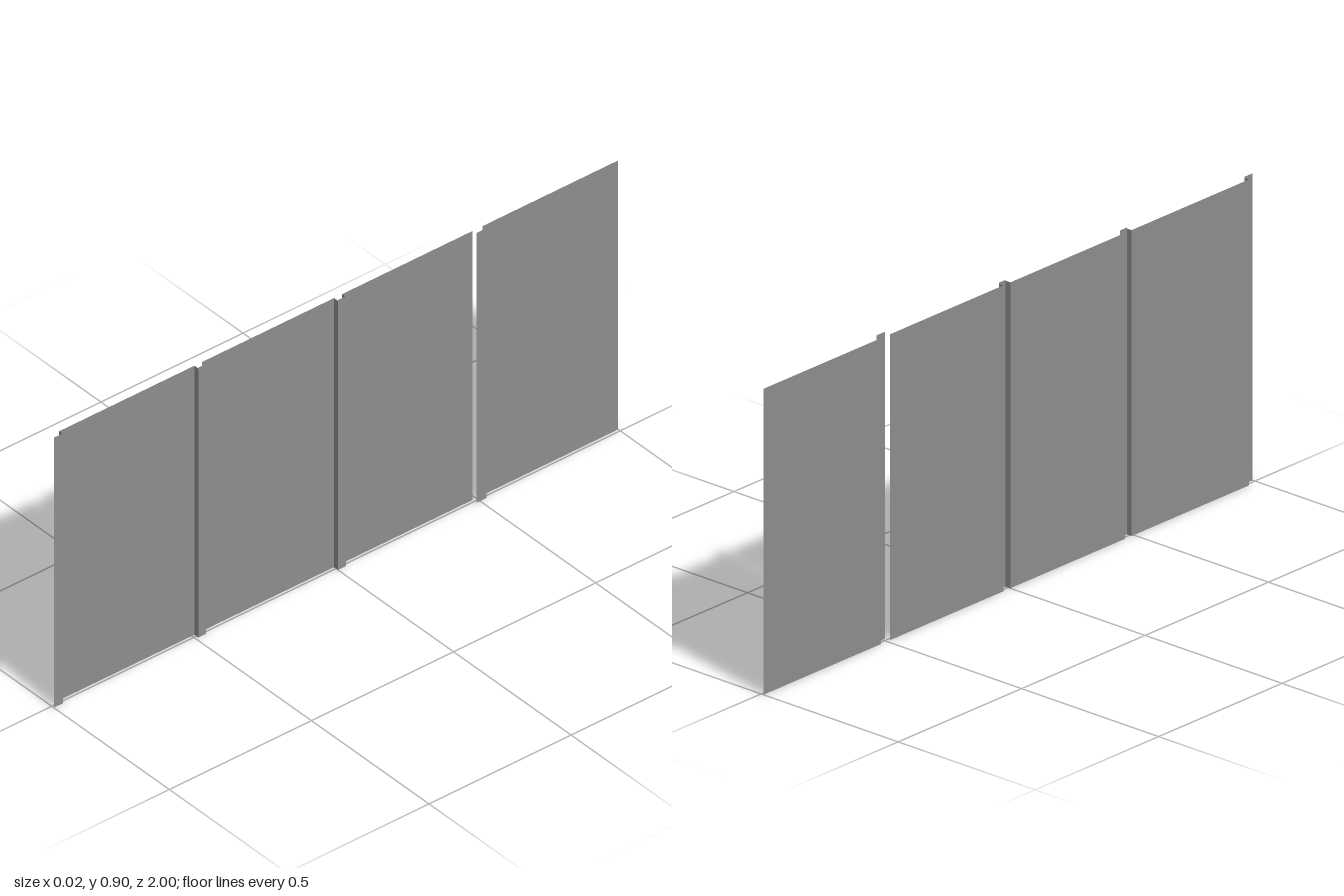
import * as THREE from 'three';

const HEIGHT = 0.9;       // sheet height
const CAP_HEIGHT = 0.903; // seam caps stand a touch proud
const DEPTH = 0.0085;     // half the depth of the profile

export function createModel() {
  const metal = new THREE.MeshStandardMaterial({ color: 0x8e8e90, side: THREE.DoubleSide });
  metal.name = 'grey sheet metal';

  const model = new THREE.Group();
  model.name = 'seamedWallCladding';

  // Thin sheet facing +x, running from z = front back to z = back
  function sheet(name, x, front, back, height) {
    const geometry = new THREE.PlaneGeometry(front - back, height).rotateY(Math.PI / 2);
    const mesh = new THREE.Mesh(geometry, metal);
    mesh.name = name;
    mesh.position.set(x, height / 2, (front + back) / 2);
    model.add(mesh);
  }

  // Narrow web across the depth of a seam, facing along z
  function web(name, z) {
    const mesh = new THREE.Mesh(new THREE.PlaneGeometry(2 * DEPTH, HEIGHT), metal);
    mesh.name = name;
    mesh.position.set(0, HEIGHT / 2, z);
    model.add(mesh);
  }

  // Seams from front to back: cap extent, and which side webs they have
  const seams = [
    { front: 1, back: 0.967, frontWeb: false, backWeb: true },
    { front: 0.491, back: 0.464, frontWeb: true, backWeb: false },
    { front: 0, back: -0.028, frontWeb: true, backWeb: true },
    { front: -0.488, back: -0.523, frontWeb: false, backWeb: false },
  ];

  seams.forEach((seam, i) => {
    const panelEnd = i + 1 < seams.length ? seams[i + 1].front : -1;
    sheet('seamCap', DEPTH, seam.front, seam.back, CAP_HEIGHT);
    sheet('panel', -DEPTH, seam.back, panelEnd, HEIGHT);
    if (seam.frontWeb) web('seamFrontWeb', seam.front);
    if (seam.backWeb) web('seamBackWeb', seam.back);
  });

  return model;
}
